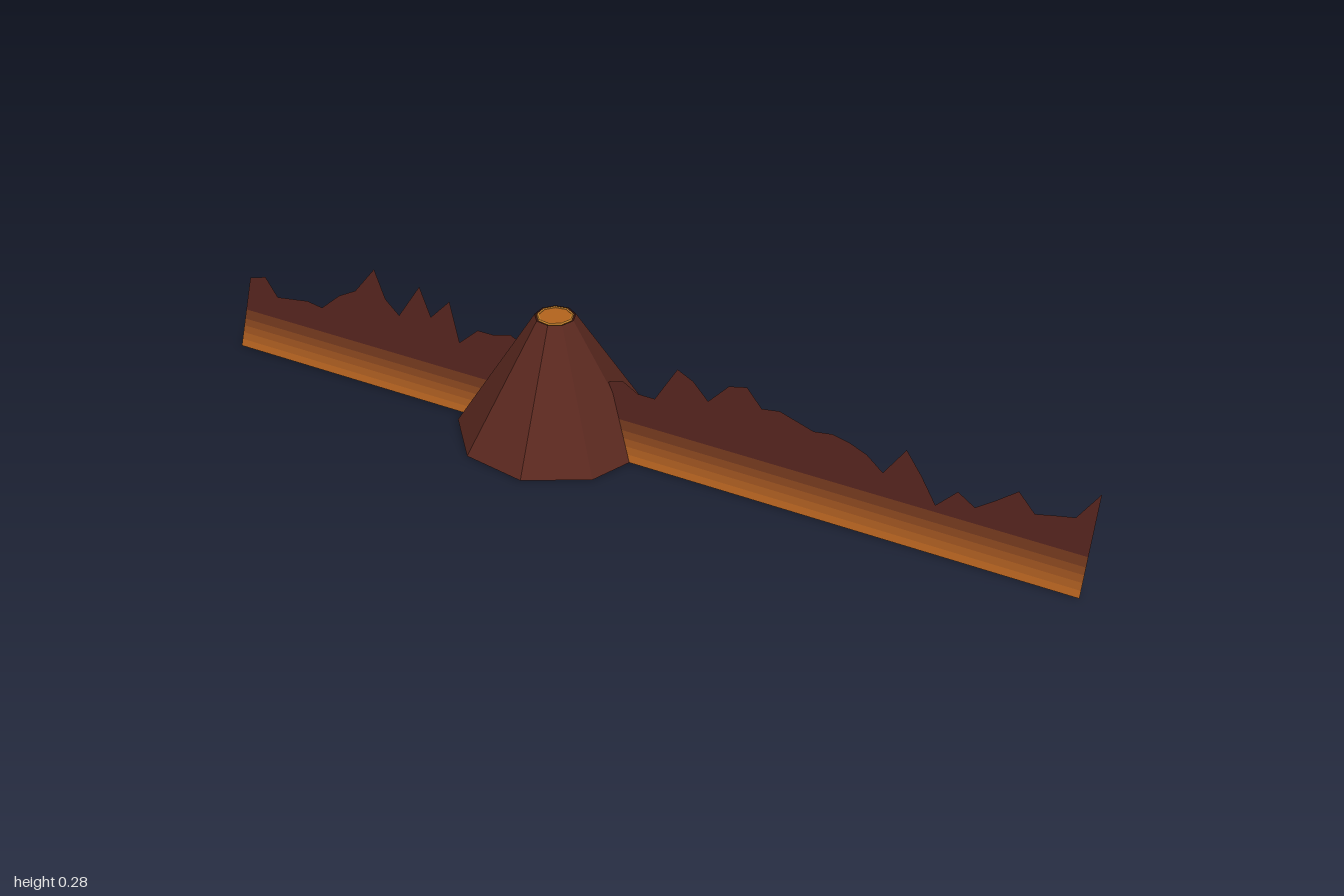
import * as THREE from 'three';

const STEP = 0.04; // spacing of skyline points along x
const LEAN = 0.35; // backward lean of the ridge per unit height
const FOOT_Z = 0.045;

// Skyline heights from x = -1 to x = 1
const skyline = [
  0.15, 0.16, 0.125, 0.13, 0.135, 0.13, 0.165, 0.185, 0.24, 0.185,
  0.16, 0.23, 0.175, 0.217, 0.14, 0.175, 0.175, 0.185, 0.17, 0.165,
  0.16, 0.16, 0.16, 0.145, 0.157, 0.14, 0.14, 0.21, 0.195, 0.165,
  0.205, 0.213, 0.18, 0.185, 0.175, 0.165, 0.17, 0.163, 0.15, 0.125,
  0.18, 0.14, 0.093, 0.13, 0.11, 0.135, 0.163, 0.13, 0.138, 0.145, 0.2,
];

function makeMaterial(color) {
  return new THREE.MeshStandardMaterial({ color, flatShading: true, side: THREE.DoubleSide });
}

function addMesh(parent, name, geometry, color, x = 0, y = 0, z = 0) {
  const mesh = new THREE.Mesh(geometry, makeMaterial(color));
  mesh.name = name;
  mesh.position.set(x, y, z);
  parent.add(mesh);
  return mesh;
}

// Leaning strip between a lower height and an upper height function
function stripGeometry(low, high) {
  const positions = [];
  const indices = [];
  skyline.forEach((peak, i) => {
    for (const y of [low, high(peak)]) positions.push(-1 + i * STEP, y, FOOT_Z - LEAN * y);
    if (i > 0) {
      const a = 2 * (i - 1);
      indices.push(a, a + 2, a + 1, a + 2, a + 3, a + 1);
    }
  });
  const geometry = new THREE.BufferGeometry();
  geometry.setAttribute('position', new THREE.Float32BufferAttribute(positions, 3));
  geometry.setIndex(indices);
  geometry.computeVertexNormals();
  return geometry;
}

export function createModel() {
  const model = new THREE.Group();
  model.name = 'volcanoLandscape';

  // Mountain ridge: bands fading from a glowing foot to dark rock
  const ridge = new THREE.Group();
  ridge.name = 'mountainRidge';
  model.add(ridge);
  const glow = new THREE.Color(0xb0601f);
  const rock = new THREE.Color(0x4f211b);
  const levels = [0, 0.015, 0.03, 0.045, 0.06, 0.08];
  levels.forEach((low, i) => {
    const last = i === levels.length - 1;
    const color = glow.clone().lerp(rock, i / (levels.length - 1));
    const high = last ? (peak) => peak : () => levels[i + 1];
    addMesh(ridge, last ? 'ridgeRock' : 'ridgeGlow' + (i + 1), stripGeometry(low, high), color);
  });

  // Volcano: open nine-sided cone with a lava-filled crater
  const volcano = new THREE.Group();
  volcano.name = 'volcano';
  volcano.position.x = -0.195;
  model.add(volcano);
  const height = 0.276;
  const cone = new THREE.CylinderGeometry(0.044, 0.218, height, 9, 1, true, Math.PI / 2);
  addMesh(volcano, 'volcanoCone', cone, 0x5a281f, 0, height / 2, 0);

  const lava = new THREE.CircleGeometry(0.038, 9).rotateX(-Math.PI / 2);
  addMesh(volcano, 'craterLava', lava, 0xb5651d, 0, 0.2755, 0);
  const rim = new THREE.TorusGeometry(0.037, 0.003, 5, 9).rotateX(-Math.PI / 2);
  addMesh(volcano, 'craterRim', rim, 0xc8842e, 0, 0.275, 0);

  return model;
}
